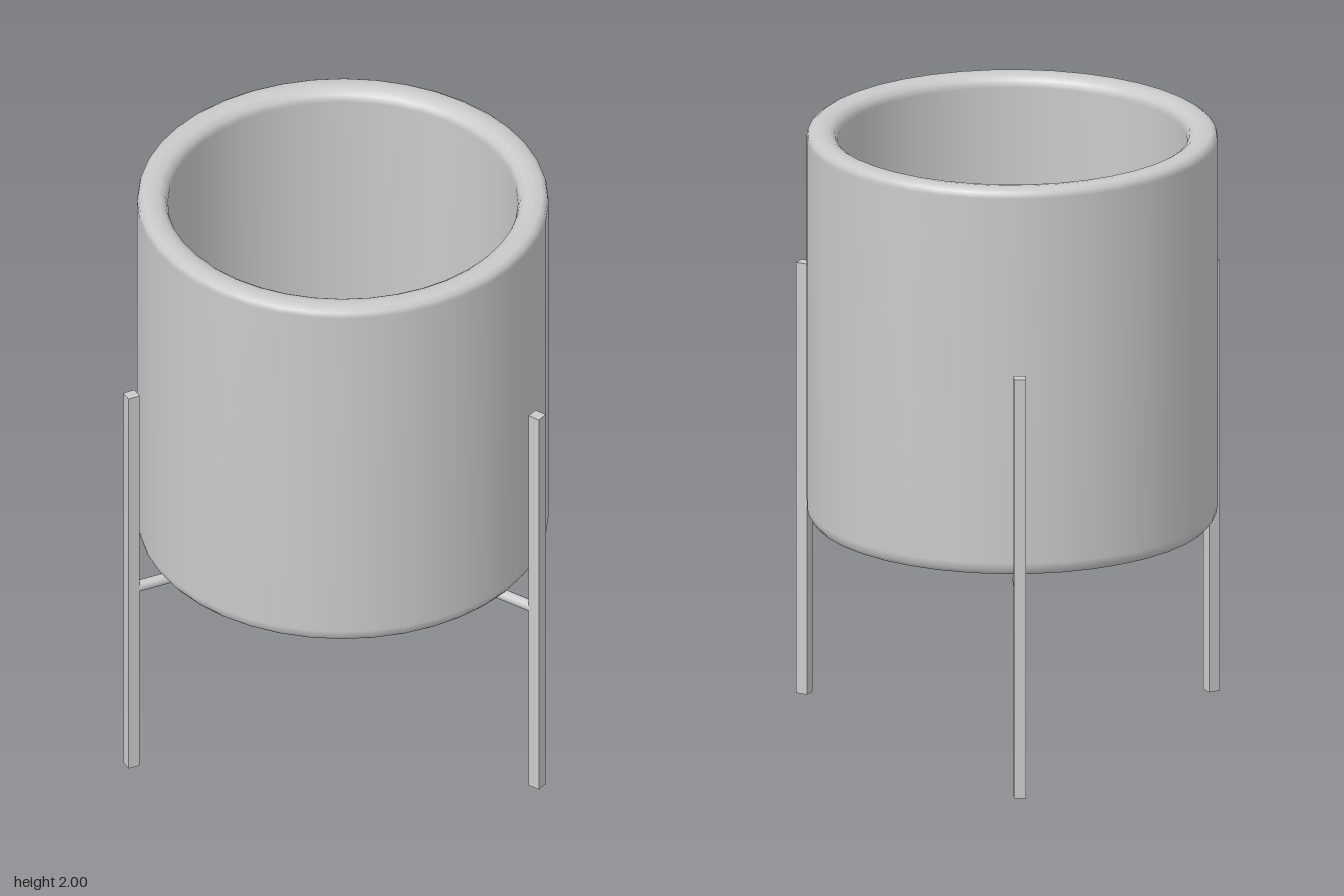
import * as THREE from 'three';

const CX = 0.053, CZ = -0.013; // pot axis
const BASE = 0.705, FLOOR = 0.75; // underside and inner floor heights

export function createModel() {
  const model = new THREE.Group();
  model.name = 'planterOnStand';
  const grey = new THREE.MeshStandardMaterial({ color: 0xcacaca });
  grey.name = 'grey';

  // Pot walls with softly rounded foot and rim, from outer base to inner floor
  const wall = [
    [0.62, BASE], [0.641, 0.711], [0.653, 0.727], [0.657, 0.75],
    [0.657, 1.97], [0.653, 1.988], [0.638, 1.998], [0.61, 2.0],
    [0.585, 1.996], [0.567, 1.984], [0.559, 1.962], [0.559, FLOOR],
  ].map(([r, y]) => new THREE.Vector2(r, y));
  const pot = new THREE.Mesh(new THREE.LatheGeometry(wall, 40), grey);
  pot.name = 'potWall';
  pot.position.set(CX, 0, CZ);
  model.add(pot);

  // Flat discs closing the pot: underside and inner floor
  for (const [name, r, y, turn] of [['potUnderside', 0.62, BASE, 1], ['potFloor', 0.559, FLOOR, -1]]) {
    const disc = new THREE.Mesh(new THREE.CircleGeometry(r, 40, Math.PI / 2), grey);
    disc.name = name;
    disc.rotation.x = turn * Math.PI / 2;
    disc.position.set(CX, y, CZ);
    model.add(disc);
  }

  // Three square legs facing the axis, each tied to the hub by a round strut
  const legs = [
    ['right', -0.694, -0.028, 1.44],
    ['frontLeft', 0.412, 0.655, 1.44],
    ['backLeft', 0.437, -0.653, 1.4],
  ];
  for (const [side, x, z, top] of legs) {
    const support = new THREE.Group();
    support.name = side + 'Support';
    support.position.set(CX, 0, CZ);
    support.rotation.y = -Math.atan2(z - CZ, x - CX);
    const reach = Math.hypot(x - CX, z - CZ);

    const leg = new THREE.Mesh(new THREE.BoxGeometry(0.04, top, 0.038), grey);
    leg.name = side + 'Leg';
    leg.position.set(reach, top / 2, 0);

    const strut = new THREE.Mesh(new THREE.CylinderGeometry(0.019, 0.019, reach, 10), grey);
    strut.name = side + 'Strut';
    strut.rotation.z = Math.PI / 2;
    strut.position.set(reach / 2, 0.687, 0);

    support.add(leg, strut);
    model.add(support);
  }
  return model;
}
